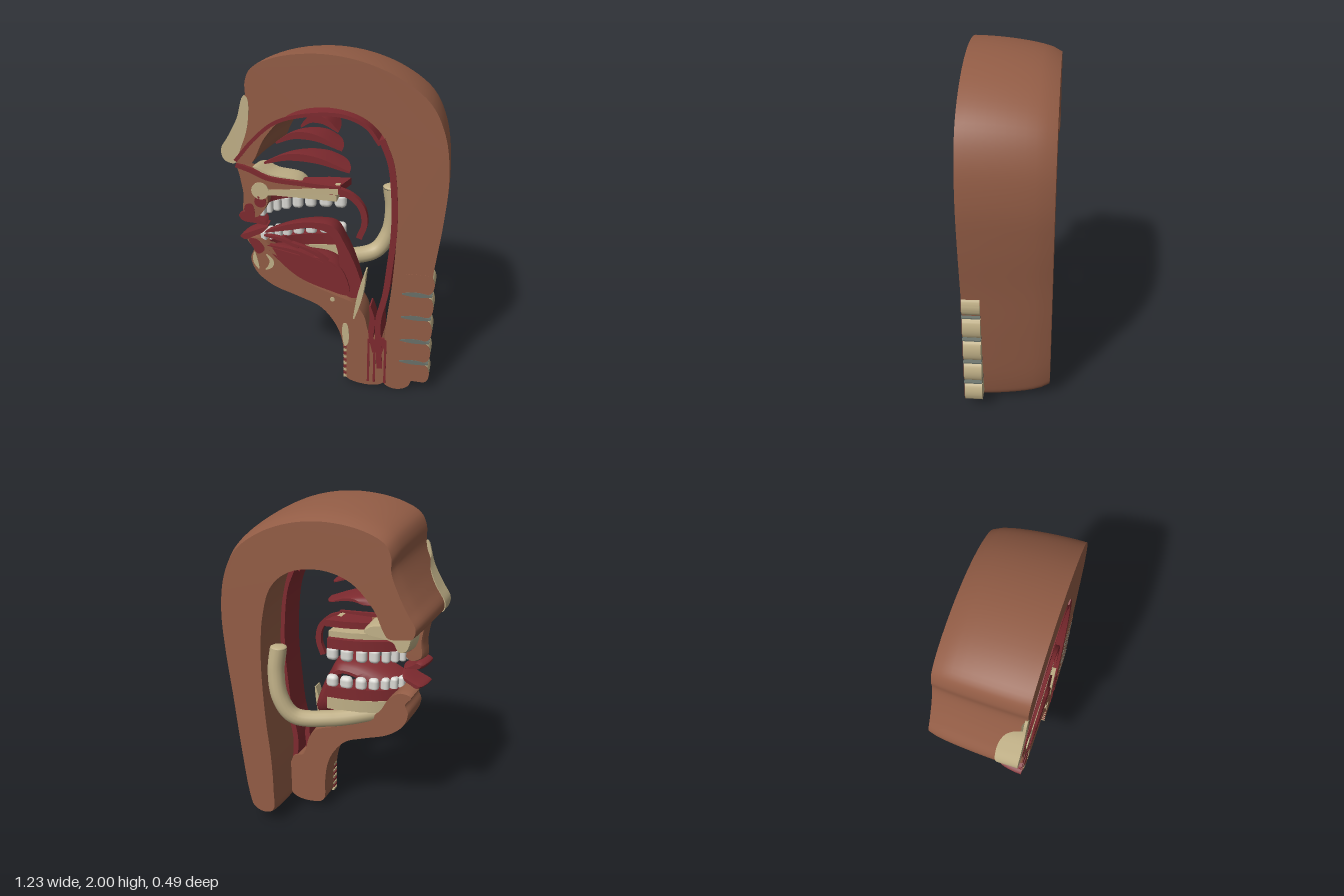
import * as THREE from 'three';
import { toCreasedNormals } from 'three/addons/utils/BufferGeometryUtils.js';
import { RoundedBoxGeometry } from 'three/addons/geometries/RoundedBoxGeometry.js';

const mat = (name, color) => Object.assign(new THREE.MeshStandardMaterial({ color }), { name });
const FRONT = 0.24;

// Smooth curve through 2D points
const spline = (pts, closed, n = 5) =>
  new THREE.CatmullRomCurve3(pts.map(([x, y]) => new THREE.Vector3(x, y, 0)), closed, 'centripetal')
    .getPoints(pts.length * n).map(p => new THREE.Vector2(p.x, p.y));

// Outline of a strip along a path, optionally narrowed at both ends
function ribbon(pts, width, pointed = false) {
  const c = spline(pts, false), a = [], b = [];
  c.forEach((p, i) => {
    const d = c[Math.min(i + 1, c.length - 1)].clone().sub(c[Math.max(i - 1, 0)]).normalize();
    const k = i / (c.length - 1);
    const w = width / 2 * (pointed ? 0.25 + 0.75 * Math.sin(Math.PI * k) : 1);
    a.push(new THREE.Vector2(p.x - d.y * w, p.y + d.x * w));
    b.unshift(new THREE.Vector2(p.x + d.y * w, p.y - d.x * w));
  });
  return a.concat(b);
}

// Outline extruded from z0 to z1, shrinking towards its back by a rule
function slab(outline, z0, z1, taper = 0, centre = null, steps = taper ? 10 : 1) {
  const g = new THREE.ExtrudeGeometry(new THREE.Shape(outline), { depth: z1 - z0, steps, bevelEnabled: false });
  g.translate(0, 0, z0);
  g.computeBoundingBox();
  const mid = g.boundingBox.getCenter(new THREE.Vector3());
  const [cx, cy] = centre || [mid.x, mid.y];
  const p = g.attributes.position;
  for (let i = 0; i < p.count && taper; i++) {
    const t = (z1 - p.getZ(i)) / (z1 - z0);
    const s = 1 - taper * (0.75 * t * t + 0.25 * t ** 12);
    p.setXY(i, cx + (p.getX(i) - cx) * s, cy + (p.getY(i) - cy) * s);
  }
  return toCreasedNormals(g, 0.6);
}

export function createModel() {
  const model = new THREE.Group();
  const skin = mat('skin', 0x925c45), red = mat('muscle', 0x7e2a2f), bone = mat('bone', 0xc0b087);
  const white = mat('tooth', 0xd9d8d3), grey = mat('disc', 0x687068);
  const add = (name, geo, m) => {
    const mesh = new THREE.Mesh(geo, m);
    mesh.name = name;
    model.add(mesh);
    return mesh;
  };

  // Cranium, nape and nose
  add('head', slab(spline([
    [-0.464, 1.76], [-0.46, 1.84], [-0.425, 1.91], [-0.3, 1.97], [-0.08, 2], [0.14, 1.975], [0.34, 1.9],
    [0.5, 1.78], [0.58, 1.62], [0.612, 1.4], [0.6, 1.15], [0.565, 0.84], [0.53, 0.5], [0.48, 0.12],
    [0.45, 0.03], [0.38, 0.002], [0.31, 0.03], [0.3, 0.2], [0.31, 0.45], [0.335, 0.7], [0.352, 1], [0.35, 1.2], [0.33, 1.4],
    [0.27, 1.59], [0.15, 1.695], [-0.05, 1.73], [-0.23, 1.68], [-0.37, 1.54], [-0.43, 1.42],
    [-0.46, 1.385], [-0.54, 1.39], [-0.597, 1.403], [-0.613, 1.46], [-0.567, 1.54], [-0.512, 1.64],
  ], true), -0.243, FRONT, 0.077, [0, 1]), skin);

  // Nose cartilage, its back edge domed
  const nose = slab(spline([
    [-0.473, 1.765], [-0.452, 1.755], [-0.46, 1.6], [-0.51, 1.46], [-0.54, 1.387], [-0.6, 1.4],
    [-0.617, 1.46], [-0.571, 1.54], [-0.516, 1.64],
  ], true), 0.12, FRONT + 0.002);
  const np = nose.attributes.position;
  for (let i = 0; i < np.count; i++) {
    if (np.getZ(i) < 0.2) np.setZ(i, FRONT - 0.12 * Math.sqrt(Math.max(0.01, 1 - ((np.getY(i) - 1.52) / 0.17) ** 2)));
  }
  add('noseTip', nose, bone);

  // Throat lining and roof of the nasal cavity
  add('nasalRoofLining', slab(ribbon([[-0.54, 1.4], [-0.42, 1.54], [-0.3, 1.635], [-0.12, 1.685],
    [0.06, 1.69], [0.18, 1.64], [0.25, 1.55]], 0.02), 0.1, 0.244), red);
  add('throatLining', slab(ribbon([[0.26, 1.58], [0.31, 1.45], [0.335, 1.25], [0.338, 1.05], [0.32, 0.83],
    [0.3, 0.65], [0.265, 0.48], [0.27, 0.32], [0.28, 0.14]], 0.034), 0.05, 0.244), red);

  // Nasal turbinates, each narrowing towards its inner end
  [[-0.17, 0.03, 1.61, 0.06], [-0.31, 0.05, 1.51, 0.065], [-0.38, 0.09, 1.39, 0.06]].forEach(([x0, x1, y, h]) => {
    const w = x1 - x0;
    add('turbinate', slab(ribbon([[x0, y + 0.005], [x0 + w * 0.27, y + h * 0.8], [x0 + w * 0.6, y + h * 0.75],
      [x1, y - 0.01]], 0.04, true), 0.06, 0.23, 0.6, [x0 + w * 0.75, y + 0.03]), red);
  });

  // Upper lip block with the bone behind it, nasal floor and soft palate
  add('upperFace', slab(spline([
    [-0.53, 1.375], [-0.48, 1.365], [-0.38, 1.31], [-0.2, 1.29], [-0.1, 1.27], [-0.2, 1.24], [-0.36, 1.225],
    [-0.37, 1.16], [-0.44, 1.07], [-0.51, 1.1], [-0.505, 1.2], [-0.52, 1.31],
  ], true), 0.15, FRONT, 0.08), skin);
  add('upperJawBone', slab(spline([[-0.46, 1.355], [-0.36, 1.32], [-0.2, 1.295], [-0.16, 1.25], [-0.36, 1.21],
    [-0.4, 1.15], [-0.45, 1.16], [-0.48, 1.25]], true), 0.05, 0.2, 0.15), bone);
  add('nasalFloorLining', slab(ribbon([[-0.54, 1.375], [-0.46, 1.35], [-0.36, 1.31], [-0.15, 1.295], [0.04, 1.285]], 0.024), 0.222, 0.243), red);
  add('palateEdge', slab(ribbon([[-0.45, 1.225], [-0.3, 1.235], [-0.1, 1.26], [0.03, 1.27]], 0.034), 0.16, 0.244), bone);
  const knob = (name, x, y, r, m) => {
    const g = new THREE.CylinderGeometry(r, r, 0.1, 20).rotateX(Math.PI / 2);
    add(name, g, m).position.set(x, y, 0.196);
  };
  knob('palateBone', -0.408, 1.235, 0.05, bone);
  knob('lipMuscle', -0.41, 1.17, 0.034, red);
  add('softPalate', slab(ribbon([[0.02, 1.275], [0.1, 1.245], [0.16, 1.18], [0.175, 1.09], [0.145, 1]], 0.034), 0.21, 0.242), red);

  // Dental arches: plates lie level, following a quarter ellipse
  const archZ = x => FRONT - 0.24 * Math.sqrt(Math.max(0, 1 - ((0.03 - x) / 0.45) ** 2));
  const arch = [-0.42, -0.41, -0.38, -0.32, -0.22, -0.1, 0.02].map(x => [x, Math.max(-0.225, -archZ(x) - 0.012)]);
  const level = (outline, y0, y1) => slab(outline, y0, y1).rotateX(-Math.PI / 2);
  const plate = inset => arch.map(([x, z]) => new THREE.Vector2(x + inset * 0.8, Math.max(-0.235, z - inset)))
    .concat([new THREE.Vector2(0.02, -0.235)]);
  add('hardPalate', level(plate(0), 1.208, 1.245), bone);
  add('palateLining', level(plate(0.06), 1.245, 1.285), red);
  add('upperGum', level(ribbon(arch, 0.06), 1.15, 1.21), red);
  add('lowerGum', level(ribbon(arch, 0.06), 0.84, 0.91), red);
  add('lowerJawRidge', level(ribbon(arch, 0.064), 0.765, 0.84), bone);
  const teeth = [[-0.41, 0.034], [-0.385, 0.04], [-0.35, 0.046], [-0.305, 0.052], [-0.245, 0.062], [-0.175, 0.066], [-0.09, 0.076], [-0.005, 0.07]];
  [[1.115, 0.044], [0.937, 0.04]].forEach(([y, h]) => teeth.forEach(([x, w]) =>
    add(y > 1 ? 'upperTooth' : 'lowerTooth', new RoundedBoxGeometry(w, h * 2, 0.055, 4, w * 0.38), white)
      .position.set(x, y, Math.min(archZ(x) + 0.012, 0.21))));

  // Lips
  add('upperLip', slab(spline([[-0.54, 1.08], [-0.49, 1.1], [-0.45, 1.07], [-0.38, 1.03], [-0.45, 1.035], [-0.52, 1.045]], true), 0.12, 0.243, 0.45, [-0.46, 1.06]), red);
  add('lowerLip', slab(spline([[-0.54, 0.945], [-0.48, 0.975], [-0.38, 1.015], [-0.4, 0.985], [-0.46, 0.95], [-0.51, 0.925]], true), 0.1, 0.243, 0.4, [-0.45, 0.95]), red);
  add('upperLipMuscle', slab(spline([[-0.5, 1.14], [-0.46, 1.15], [-0.45, 1.07], [-0.5, 1.08]], true), 0.2, 0.243), red);
  add('chinMuscle', slab(spline([[-0.49, 0.93], [-0.44, 0.93], [-0.4, 0.87], [-0.44, 0.84], [-0.47, 0.88]], true), 0.2, 0.243), red);

  // Chin, jaw floor and front of the neck
  add('jawAndNeck', slab(spline([
    [-0.5, 0.925], [-0.43, 0.94], [-0.36, 0.89], [-0.3, 0.79], [-0.17, 0.69], [0, 0.62], [0.12, 0.575],
    [0.18, 0.5], [0.22, 0.37], [0.3, 0.33], [0.315, 0.05], [0.25, 0.01], [0.1, 0.025], [0.07, 0.06], [0.065, 0.2], [0.045, 0.34],
    [0, 0.44], [-0.08, 0.53], [-0.2, 0.58], [-0.36, 0.64], [-0.455, 0.72], [-0.485, 0.81], [-0.465, 0.87],
  ], true), 0.04, FRONT, 0.05), skin);

  // Jawbone, running forward from the joint to the chin
  add('jawbone', new THREE.TubeGeometry(new THREE.CatmullRomCurve3([
    [0.265, 1.16, -0.14], [0.28, 1.02, -0.15], [0.255, 0.85, -0.155], [0.18, 0.735, -0.13],
    [-0.02, 0.715, -0.04], [-0.2, 0.735, 0.06], [-0.37, 0.77, 0.17],
  ].map(p => new THREE.Vector3(...p))), 48, 0.05, 14), bone);
  const cap = add('jawboneTop', new THREE.SphereGeometry(0.05, 14, 10), bone);
  cap.position.set(0.265, 1.16, -0.14);
  cap.scale.y = 0.3;
  [[[-0.462, 0.85], [-0.458, 0.79], [-0.44, 0.74]], [[-0.39, 0.84], [-0.362, 0.8], [-0.37, 0.765], [-0.4, 0.74]]].forEach(path =>
    add('chinBone', slab(ribbon(path, 0.028, true), 0.2, 0.242), bone));

  // Tongue, a shell curling down towards its back, and the muscles beneath it
  add('tongue', slab(spline([
    [-0.4, 0.975], [-0.27, 1.035], [-0.12, 1.065], [0, 1.05], [0.07, 0.94], [0.14, 0.78], [0.17, 0.65],
    [0.14, 0.61], [0.08, 0.615], [0.04, 0.74], [0.025, 0.9], [-0.02, 1], [-0.12, 1.03], [-0.27, 1],
  ], true), 0.04, 0.23, 0.5, [-0.03, 0.93]), red);
  add('tongueRoot', slab(spline([
    [-0.38, 0.88], [-0.2, 0.855], [-0.03, 0.84], [0.05, 0.79], [0.09, 0.63], [-0.04, 0.65], [-0.2, 0.71], [-0.31, 0.8],
  ], true), 0.1, 0.24, 0.15), red);
  [[-0.24, 0.93, 0.02, 0.8], [-0.38, 0.9, -0.05, 0.82], [-0.4, 0.96, -0.2, 0.9]].forEach(([x0, y0, x1, y1]) =>
    add('tongueFibre', slab(ribbon([[x0, y0], [(x0 + x1) / 2, (y0 + y1) / 2 + 0.015], [x1, y1]], 0.02, true), 0.215, 0.243), red));

  // Larynx: epiglottis, cartilage and windpipe
  add('epiglottis', slab(ribbon([[0.12, 0.47], [0.145, 0.58], [0.165, 0.68], [0.185, 0.79]], 0.03, true), 0.18, 0.243), bone);
  add('throatCartilage', slab(spline([[0.06, 0.43], [0.08, 0.43], [0.09, 0.3], [0.07, 0.27], [0.055, 0.33]], true), 0.16, 0.243), bone);
  knob('hyoidBone', -0.005, 0.59, 0.014, bone);
  add('vocalFold', slab(ribbon([[0.215, 0.57], [0.23, 0.48], [0.225, 0.38], [0.24, 0.25]], 0.035, true), 0.15, 0.243), red);
  add('gulletOpening', slab(spline([[0.25, 0.35], [0.31, 0.35], [0.29, 0.24], [0.28, 0.15], [0.265, 0.24]], true), 0.23, 0.243), red);
  [0.212, 0.248, 0.312].forEach(x =>
    add('windpipeWall', new THREE.BoxGeometry(0.013, 0.31, 0.02), red).position.set(x, 0.19, 0.234));
  for (let i = 0; i < 10; i++) {
    add('windpipeRing', new THREE.BoxGeometry(0.02, 0.014, 0.05), i % 2 ? red : bone).position.set(0.07, 0.05 + i * 0.024, 0.217);
  }

  // Neck vertebrae with cut faces, and the discs between them
  [[0.69, 0.81], [0.535, 0.668], [0.375, 0.513], [0.225, 0.353], [0.078, 0.203]].forEach(([y0, y1], i) => {
    const o = spline([[0.41, y0 + 0.01], [0.5, y0], [0.555, y0 + 0.005], [0.573, y0 + 0.04],
      [0.573, y1 - 0.04], [0.555, y1 - 0.005], [0.5, y1], [0.41, y1 - 0.01]], true);
    add('vertebra', slab(o, 0.14, 0.2385), bone);
    add('vertebraCutFace', slab(o, 0.2385, 0.241), skin);
    if (i < 4) {
      const y = y0 - 0.012;
      add('disc', slab(ribbon([[0.395, y], [0.48, y + 0.003], [0.565, y]], 0.03, true), 0.14, 0.243), grey);
    }
  });
  return model;
}
